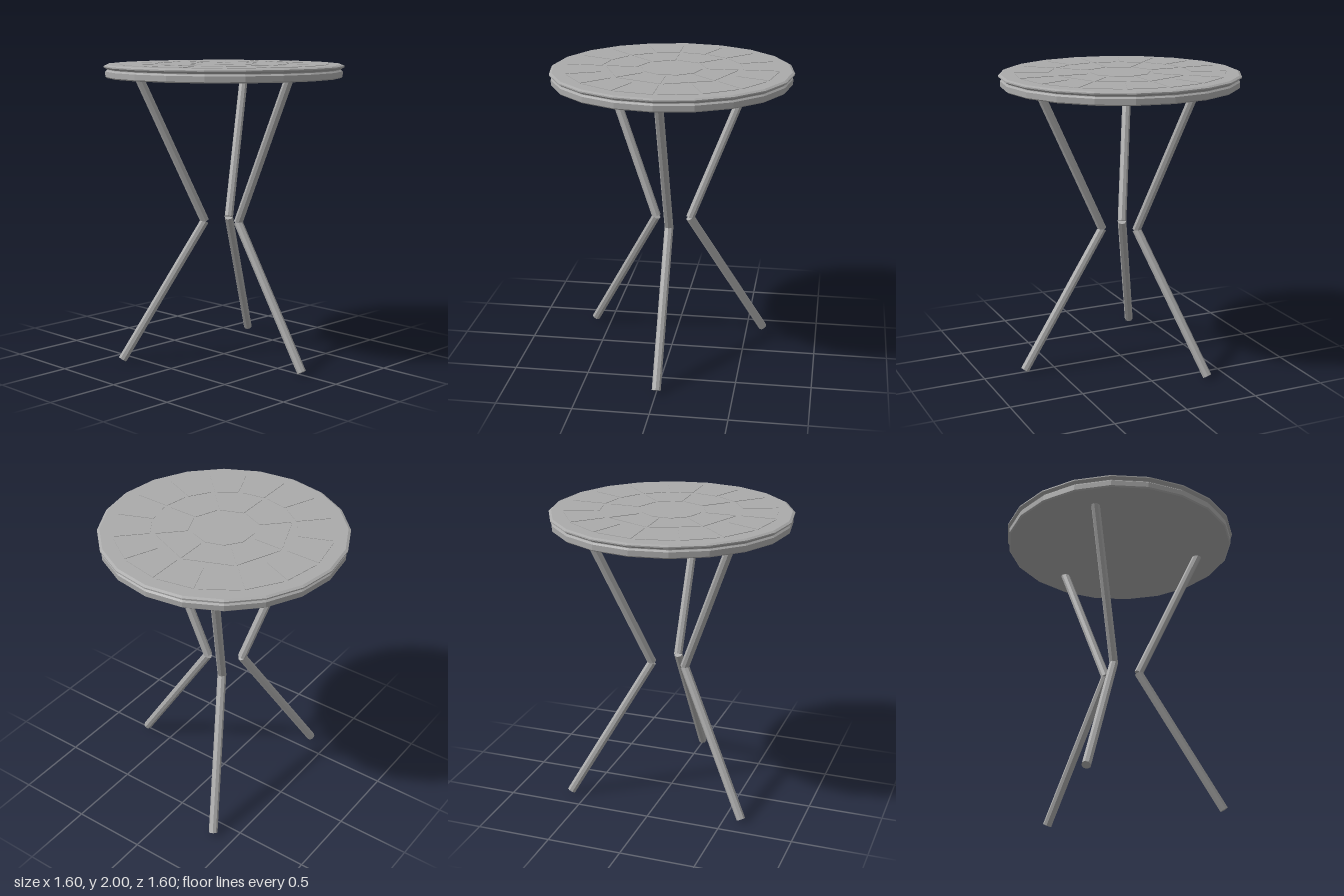
import * as THREE from 'three';

const grey = new THREE.MeshStandardMaterial({ color: 0xaaaaaa, flatShading: true });
grey.name = 'grey';

const TOP = 1.997; // main surface height; panels rise to 2.0

function add(parent, name, geometry) {
  const mesh = new THREE.Mesh(geometry, grey);
  mesh.name = name;
  parent.add(mesh);
  return mesh;
}

// Thin raised plate lying on the table top, from [x, z] corners
function addPlate(parent, name, corners) {
  const shape = new THREE.Shape(corners.map(([x, z]) => new THREE.Vector2(x, -z)));
  const geometry = new THREE.ExtrudeGeometry(shape, { depth: 0.005, bevelEnabled: false });
  geometry.rotateX(-Math.PI / 2);
  geometry.translate(0, 2 - 0.005, 0);
  add(parent, name, geometry);
}

// Ring of straight-edged panels separated by bars of constant width
function addPanelRing(parent, name, count, inner, outer, gap) {
  const step = (Math.PI * 2) / count;
  for (let i = 0; i < count; i++) {
    const corner = (r, end) => {
      const inset = Math.asin(gap / r);
      const a = i * step + (end ? step - inset : inset);
      return [r * Math.cos(a), r * Math.sin(a)];
    };
    addPlate(parent, name, [corner(inner, 0), corner(outer, 0), corner(outer, 1), corner(inner, 1)]);
  }
}

// Eight-sided rod in the YZ plane between two [z, y] points
function addRod(parent, name, [z0, y0], [z1, y1]) {
  const dz = z1 - z0, dy = y1 - y0;
  const rod = add(parent, name, new THREE.CylinderGeometry(0.03, 0.03, Math.hypot(dz, dy), 8));
  rod.position.set(0, (y0 + y1) / 2, (z0 + z1) / 2);
  rod.rotation.x = Math.atan2(dz, dy);
}

export function createModel() {
  const table = new THREE.Group();
  table.name = 'sideTable';

  // Twenty-sided top with a groove between the two edge bands
  const top = new THREE.Group();
  top.name = 'tableTop';
  table.add(top);
  const profile = [
    [0, 1.91], [0.782, 1.91], [0.791, 1.918], [0.791, 1.953], [0.78, 1.963],
    [0.78, 1.967], [0.802, 1.981], [0.802, 1.989], [0.786, TOP], [0, TOP],
  ].map(([r, y]) => new THREE.Vector2(r, y));
  add(top, 'disc', new THREE.LatheGeometry(profile, 20));

  // Raised panels: two rings around a ten-sided centre
  addPanelRing(top, 'outerPanel', 16, 0.468, 0.70, 0.014);
  addPanelRing(top, 'middlePanel', 8, 0.23, 0.434, 0.009);
  const centre = [];
  for (let i = 0; i < 10; i++) {
    const a = (i * Math.PI) / 5;
    centre.push([0.2 * Math.cos(a), 0.2 * Math.sin(a)]);
  }
  addPlate(top, 'centrePanel', centre);

  // Three legs bent inward at the knee
  for (let i = 0; i < 3; i++) {
    const leg = new THREE.Group();
    leg.name = 'leg';
    leg.rotation.y = (i * Math.PI * 2) / 3;
    addRod(leg, 'lowerLeg', [0.712, 0.016], [0.135, 0.942]);
    addRod(leg, 'upperLeg', [0.135, 0.942], [0.583, 1.925]);
    table.add(leg);
  }
  return table;
}
